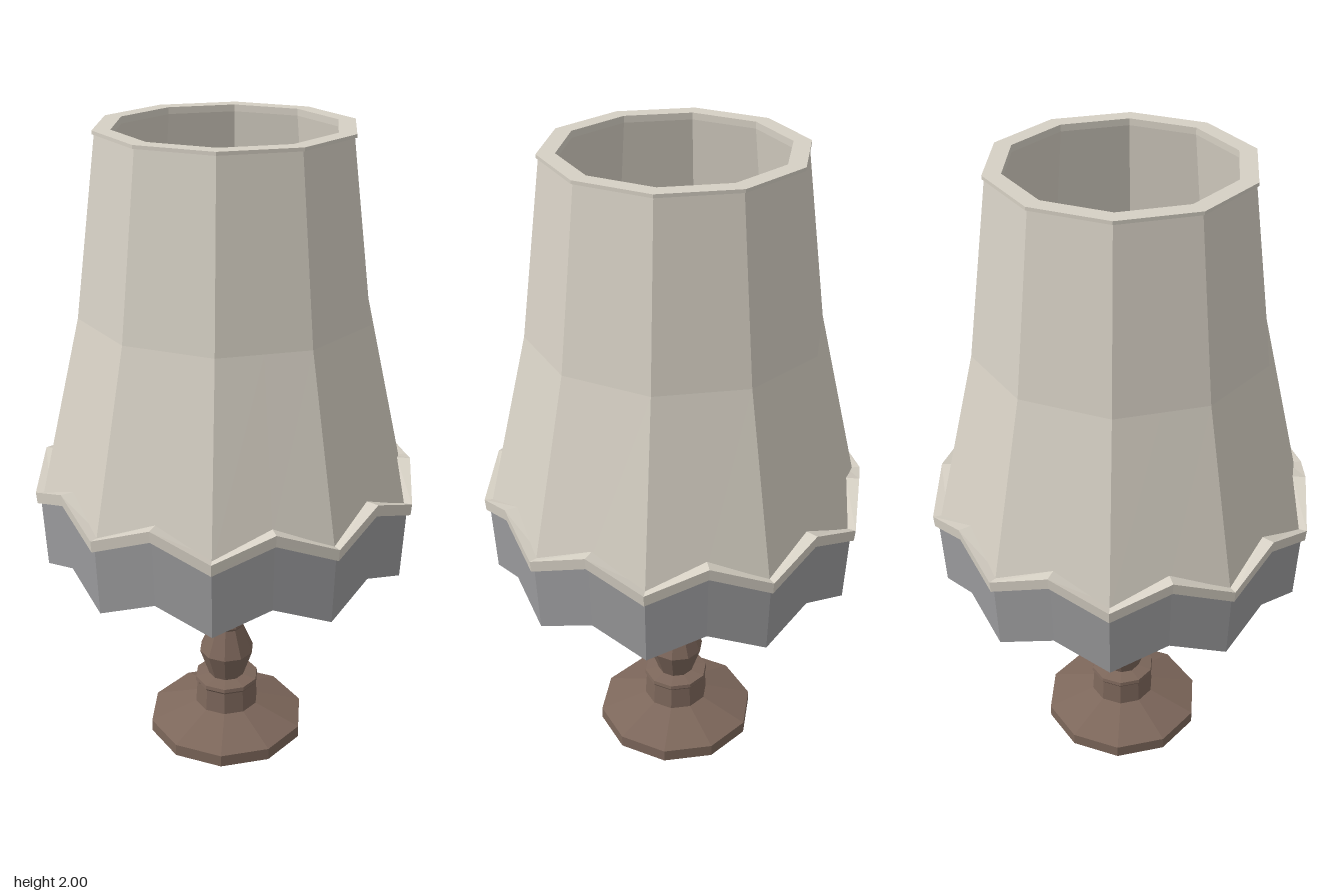
import * as THREE from 'three';

const SIDES = 10;

const material = (color) =>
  new THREE.MeshStandardMaterial({ color, flatShading: true, side: THREE.DoubleSide });

// Sweeps a profile round a decagon with columns at corners and mid-sides.
// profile(lift) gives [radius, y] points; lift is 0 at corners, 1 at mid-sides.
function scallopedLoft(profile, closed) {
  const columns = SIDES * 2;
  const positions = [];
  const index = [];
  let rows = 0;
  for (let i = 0; i < columns; i++) {
    const lift = i % 2;
    const angle = (i / columns) * Math.PI * 2;
    const flatten = lift ? Math.cos(Math.PI / SIDES) : 1;
    const points = profile(lift);
    rows = points.length;
    for (const [r, y] of points) {
      positions.push(r * flatten * Math.cos(angle), y, r * flatten * Math.sin(angle));
    }
  }
  for (let i = 0; i < columns; i++) {
    const next = (i + 1) % columns;
    for (let k = 0; k < (closed ? rows : rows - 1); k++) {
      const up = (k + 1) % rows;
      const a = i * rows + k, b = i * rows + up;
      const c = next * rows + k, d = next * rows + up;
      index.push(a, b, c, b, d, c);
    }
  }
  const geometry = new THREE.BufferGeometry();
  geometry.setAttribute('position', new THREE.Float32BufferAttribute(positions, 3));
  geometry.setIndex(index);
  geometry.computeVertexNormals();
  return geometry;
}

// Turned ten-sided part with a corner on the x axis
function turned(points) {
  return new THREE.LatheGeometry(
    points.map(([r, y]) => new THREE.Vector2(r, y)), SIDES, Math.PI / 2);
}

export function createModel() {
  const lamp = new THREE.Group();
  lamp.name = 'tableLamp';
  const wood = material(0x7d675b);
  const cloth = material(0xd6d0c4);
  const fringeCloth = material(0x9c9c9e);

  const add = (name, geometry, mat) => {
    const mesh = new THREE.Mesh(geometry, mat);
    mesh.name = name;
    lamp.add(mesh);
  };

  // Foot: flat plate, sloped top and collar
  add('foot', turned([
    [0, 0], [0.257, 0], [0.257, 0.04], [0.105, 0.095],
    [0.1, 0.17], [0.106, 0.178], [0.104, 0.19], [0.06, 0.198], [0, 0.198],
  ]), wood);

  // Stem: lower bulb, ring, column, upper bulb and lamp holder
  add('stem', turned([
    [0.058, 0.195], [0.09, 0.29], [0.053, 0.38], [0.06, 0.39], [0.056, 0.403],
    [0.04, 0.41], [0.04, 0.54], [0.073, 0.59], [0.073, 0.605], [0.05, 0.73],
    [0.045, 0.78], [0.045, 1.08], [0, 1.08],
  ]), wood);

  // Shade: thick flared wall whose lower edge follows the scallops
  add('shade', scallopedLoft((lift) => {
    const y = 0.91 + 0.07 * lift;
    const r = 0.573 - 0.017 * lift;
    return [
      [r, y], [0.44, 1.47], [0.372, 1.99], [0.378, 1.99], [0.378, 2],
      [0.326, 2], [0.326, 1.98], [0.395, 1.47], [r - 0.045, y],
    ];
  }, true), cloth);

  // Trim: zigzag band round the lower edge of the shade
  add('trim', scallopedLoft((lift) => {
    const y = 0.895 + 0.068 * lift;
    return [[0.59, y], [0.593, y + 0.036], [0.55, y + 0.036], [0.55, y]];
  }, true), cloth);

  // Fringe: thin skirt hanging below the trim
  add('fringe', scallopedLoft((lift) => [
    [0.567, 0.685 + 0.065 * lift], [0.578, 0.905 + 0.068 * lift],
  ], false), fringeCloth);

  return lamp;
}
